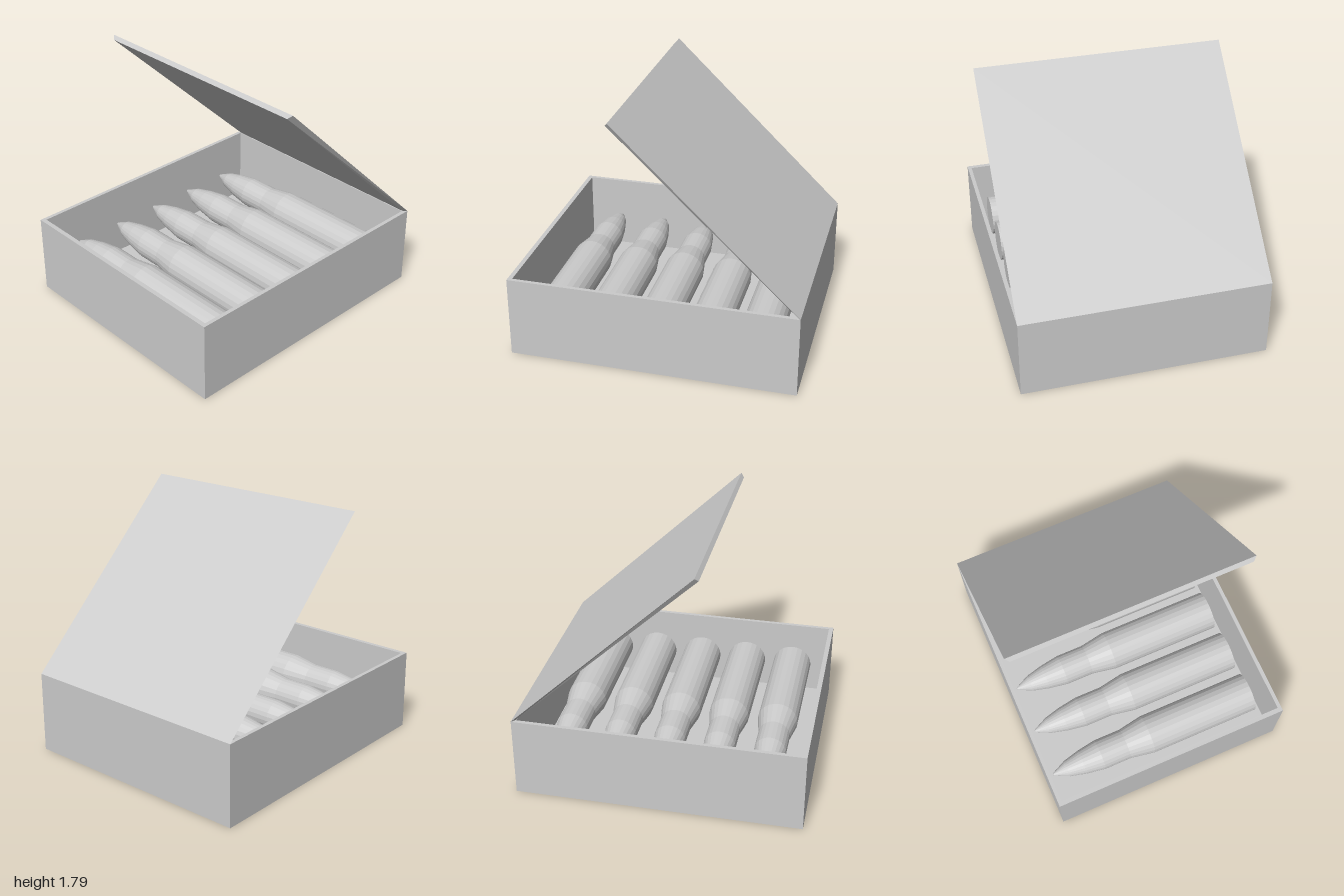
import * as THREE from 'three';

const W = 0.865, H = 0.58; // half width and height of the box

function createMaterial() {
  return new THREE.MeshStandardMaterial({ color: 0xcccccc, flatShading: true });
}

function addMesh(group, name, geometry, material) {
  const mesh = new THREE.Mesh(geometry, material);
  mesh.name = name;
  group.add(mesh);
  return mesh;
}

function rectangle(Type, x, z) {
  return new Type([[-x, -z], [x, -z], [x, z], [-x, z]].map(p => new THREE.Vector2(...p)));
}

// Thin tilted panel whose inner face is slightly narrower than its outer face
function lidGeometry() {
  const ring = (x, hingeY, hingeZ, endY, endZ) => [
    -x, hingeY, hingeZ, x, hingeY, hingeZ, x, endY, endZ, -x, endY, endZ];
  const positions = [
    ...ring(W, H, -1, 1.79, 0.253),
    ...ring(0.838, H, -0.975, 1.765, 0.276),
  ];
  const index = [0, 3, 2, 0, 2, 1, 4, 5, 6, 4, 6, 7];
  for (let i = 0; i < 4; i++) {
    const j = (i + 1) % 4;
    index.push(i, j, j + 4, i, j + 4, i + 4);
  }
  const geometry = new THREE.BufferGeometry();
  geometry.setAttribute('position', new THREE.Float32BufferAttribute(positions, 3));
  geometry.setIndex(index);
  const flat = geometry.toNonIndexed();
  flat.computeVertexNormals();
  return flat;
}

// Pointed cartridge along x, tip towards -x
function cartridgeGeometry() {
  const profile = [
    [0, -0.755], [0.143, -0.755], [0.143, 0.06], [0.112, 0.24], [0.112, 0.44],
    [0.09, 0.58], [0.06, 0.70], [0.01, 0.805], [0, 0.812],
  ].map(p => new THREE.Vector2(...p));
  return new THREE.LatheGeometry(profile, 24).rotateZ(Math.PI / 2);
}

export function createModel() {
  const model = new THREE.Group();
  model.name = 'cartridgeBox';
  const material = createMaterial();

  // Open box: wall ring and floor
  const outline = rectangle(THREE.Shape, W, 1);
  outline.holes.push(rectangle(THREE.Path, 0.838, 0.968));
  const walls = new THREE.ExtrudeGeometry(outline, { depth: H, bevelEnabled: false });
  addMesh(model, 'boxWalls', walls.rotateX(-Math.PI / 2), material);
  const floor = addMesh(model, 'boxFloor', new THREE.BoxGeometry(2 * W - 0.002, 0.03, 1.998), material);
  floor.position.y = 0.015;

  // Half-open lid hinged at the back
  const lidMaterial = createMaterial();
  lidMaterial.side = THREE.DoubleSide;
  addMesh(model, 'lid', lidGeometry(), lidMaterial);

  // Row of five cartridges
  const cartridges = new THREE.Group();
  cartridges.name = 'cartridges';
  const geometry = cartridgeGeometry();
  for (let i = -2; i <= 2; i++) {
    addMesh(cartridges, 'cartridge' + (i + 3), geometry, material).position.set(0, 0.295, i * 0.354);
  }
  model.add(cartridges);
  return model;
}
